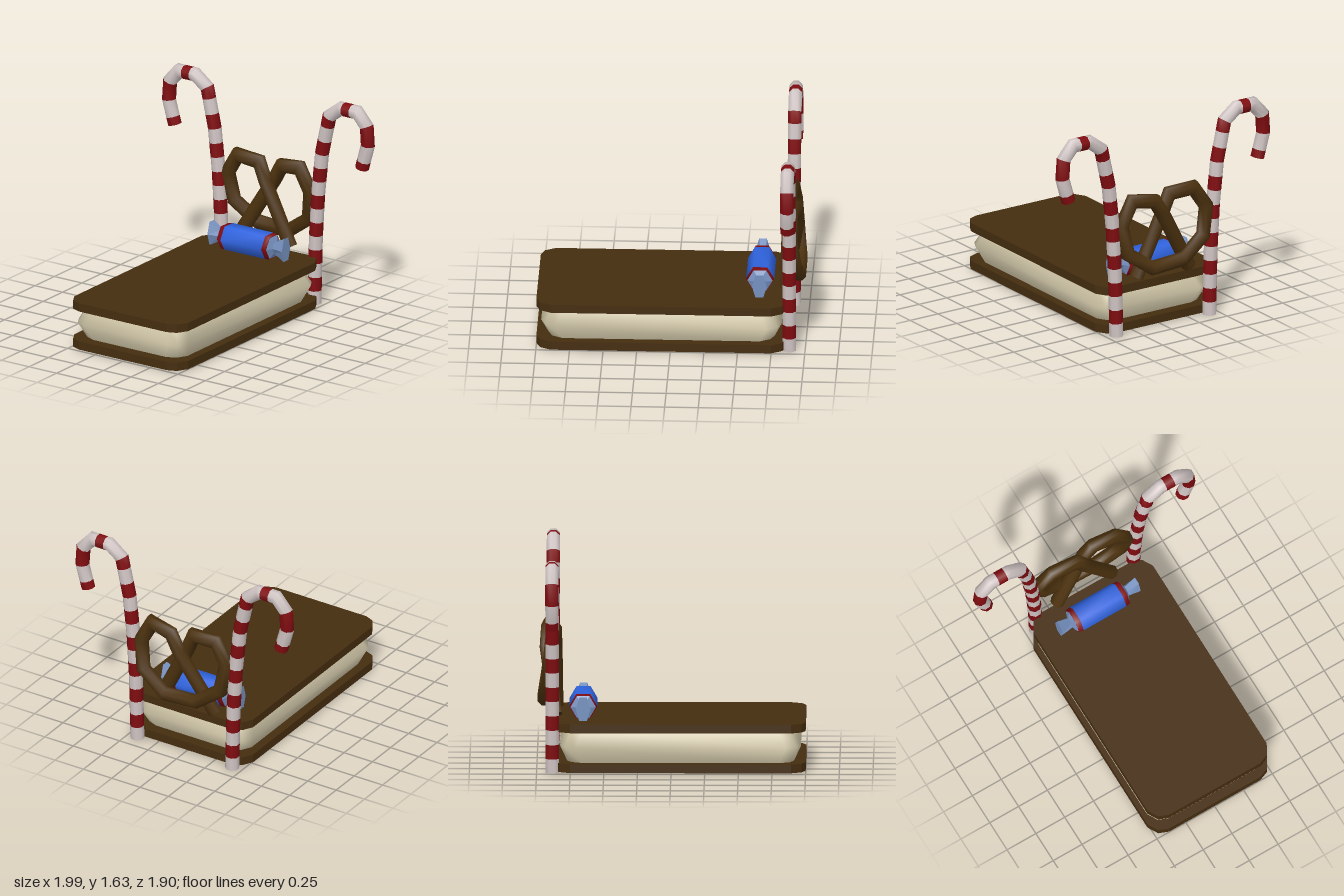
import * as THREE from 'three';

const mat = (name, color) => {
  const m = new THREE.MeshStandardMaterial({ color });
  m.name = name;
  return m;
};

const V = (x, y, z) => new THREE.Vector3(x, y, z);

// Skin a list of equal-length rings (counter-clockwise about the direction of travel), one material index per span
function loft(rings, ids, flat = false) {
  const n = rings[0].length;
  const pos = [];
  const index = [];
  let geo = new THREE.BufferGeometry();
  rings.forEach(r => r.forEach(p => pos.push(p.x, p.y, p.z)));
  const add = (id, tris) => {
    geo.addGroup(index.length, tris.length, id);
    index.push(...tris);
  };
  for (let i = 0; i < rings.length - 1; i++) {
    const tris = [];
    for (let j = 0; j < n; j++) {
      const a = i * n + j, b = i * n + (j + 1) % n;
      tris.push(a, b, a + n, b, b + n, a + n);
    }
    add(ids[i], tris);
  }
  // end caps with their own corners, so the rims stay sharp
  [[rings[0], ids[0], true], [rings.at(-1), ids.at(-1), false]].forEach(([ring, id, flip]) => {
    const start = pos.length / 3;
    ring.forEach(p => pos.push(p.x, p.y, p.z));
    const tris = [];
    for (let j = 1; j < n - 1; j++) {
      if (flip) tris.push(start, start + j + 1, start + j);
      else tris.push(start, start + j, start + j + 1);
    }
    add(id, tris);
  });
  geo.setAttribute('position', new THREE.Float32BufferAttribute(pos, 3));
  geo.setIndex(index);
  if (flat) geo = geo.toNonIndexed();
  geo.computeVertexNormals();
  return geo;
}

// Mitred rings along a path lying roughly in the yz plane
function tubeRings(path, radius, sides) {
  return path.map((p, i) => {
    const d0 = p.clone().sub(path[Math.max(i - 1, 0)]).normalize();
    const d1 = path[Math.min(i + 1, path.length - 1)].clone().sub(p).normalize();
    const t = d0.clone().add(d1).normalize();
    const s = t.clone().cross(V(1, 0, 0)).normalize();
    const b = t.clone().cross(s);
    const mitre = 1 / Math.max(t.dot(d1), t.dot(d0), 0.6);
    return Array.from({ length: sides }, (_, j) => {
      const a = (j + 0.5) / sides * Math.PI * 2;
      return p.clone()
        .addScaledVector(s, Math.cos(a) * radius * mitre)
        .addScaledVector(b, Math.sin(a) * radius);
    });
  });
}

// Rectangle with two-step rounded corners, counter-clockwise
function outline(x0, x1, w) {
  const cx = (x0 + x1) / 2, l = (x1 - x0) / 2;
  const corner = [[l, w - 0.12], [l - 0.03, w - 0.045], [l - 0.11, w]];
  const half = [...corner, ...corner.map(([x, y]) => [-x, y]).reverse()];
  return [...half, ...half.map(([x, y]) => [-x, -y])].map(([x, y]) => [x + cx, y]);
}

export function createModel() {
  const group = new THREE.Group();
  const biscuit = mat('biscuitBrown', 0x452d0f);
  const pretzelBrown = mat('pretzelBrown', 0x4b310e);
  const cream = mat('cream', 0xd3c9aa);
  const white = mat('sugarWhite', 0xd0c4c4);
  const red = mat('candyRed', 0x800c10);
  const blue = mat('wrapperBlue', 0x2f63de);
  const pale = mat('wrapperPaleBlue', 0x7590bf);

  const add = (name, geo, material) => {
    const m = new THREE.Mesh(geo, material);
    m.name = name;
    group.add(m);
    return m;
  };

  // Biscuit slabs
  const slab = new THREE.Shape(outline(-1, 0.86, 0.517).map(([x, y]) => new THREE.Vector2(x, y)));
  const slabGeo = new THREE.ExtrudeGeometry(slab, { depth: 0.065, bevelEnabled: false });
  slabGeo.rotateX(Math.PI / 2);
  add('lowerBiscuit', slabGeo, biscuit).position.y = 0.075;
  add('upperBiscuit', slabGeo, biscuit).position.y = 0.375;

  // Bulging cream filling
  const layers = [[0.075, 0.052], [0.195, 0], [0.31, 0.052]].map(([y, inset]) =>
    outline(-0.965 + inset, 0.825 - inset, 0.5 - inset).map(([x, z]) => V(x, y, -z)));
  add('creamFilling', loft(layers, [0, 0]), [cream]);

  // Striped canes: stem with evenly spaced bands, then the hook
  const stem = [[0, 0.418], [0.5, 0.43], [0.87, 0.452], [1.2, 0.488], [1.5, 0.555]];
  const stemZ = y => {
    const i = Math.max(1, stem.findIndex(k => k[0] >= y));
    const [[y0, z0], [y1, z1]] = [stem[i - 1], stem[i]];
    return z0 + (z1 - z0) * (y - y0) / (y1 - y0);
  };
  const steps = [[0, 0.418, 0]]; // y, z, band colour above
  for (let k = 0; k < 6; k++) {
    const y = 0.105 + k * 0.218;
    steps.push([y, stemZ(y), 1], [y + 0.108, stemZ(y + 0.108), 0]);
  }
  steps.push(
    [1.42, stemZ(1.42), 1], [1.5, 0.555, 0], [1.58, 0.66, 0], [1.58, 0.69, 1], [1.58, 0.762, 0],
    [1.58, 0.81, 0], [1.485, 0.893, 1], [1.338, 0.903, 0], [1.21, 0.867, 1], [1.15, 0.85, 1]);
  for (const side of [1, -1]) {
    const path = steps.map(([y, z]) => V(0.883, y, z * side));
    add(side > 0 ? 'frontCane' : 'backCane',
      loft(tubeRings(path, 0.053, 8), steps.slice(0, -1).map(s => s[2])), [white, red]);
  }

  // Knotted pretzel headboard (x, y, z)
  const knot = [
    [0.86, 0.41, -0.25], [0.93, 0.875, 0.02], [0.92, 1.007, 0.097], [0.89, 1.033, 0.28],
    [0.89, 0.855, 0.377], [0.92, 0.636, 0.34], [0.945, 0.494, 0.137], [0.945, 0.509, -0.137],
    [0.92, 0.65, -0.336], [0.9, 0.87, -0.377], [0.88, 1.028, -0.275], [0.865, 1.018, -0.07],
    [0.86, 0.875, -0.01], [0.855, 0.41, 0.22]].map(p => V(...p));
  add('pretzelHeadboard', loft(tubeRings(knot, 0.054, 8), knot.slice(1).map(() => 0)), [pretzelBrown]);

  // Wrapped sweet used as a pillow: hexagonal sections along z
  const hexagon = (z, rx, ry) => Array.from({ length: 6 }, (_, j) => {
    const a = j / 6 * Math.PI * 2;
    return V(0.655 + rx * Math.cos(a), 0.462 + ry * Math.sin(a), z - 0.018);
  });
  const bodySections = [[-0.222, 0.098], [-0.185, 0.105], [0.185, 0.105], [0.222, 0.098]];
  add('sweetBody', loft(bodySections.map(([z, r]) => hexagon(z, r, r)), [1, 0, 1]), [blue, red]);
  const front = [[0.222, 0.094, 0.094], [0.243, 0.042, 0.045], [0.338, 0.055, 0.106]];
  const back = front.map(([z, rx, ry]) => [-z, rx, ry]).reverse();
  add('frontWrapperTwist', loft(front.map(s => hexagon(...s)), [0, 0], true), [pale]);
  add('backWrapperTwist', loft(back.map(s => hexagon(...s)), [0, 0], true), [pale]);

  return group;
}
